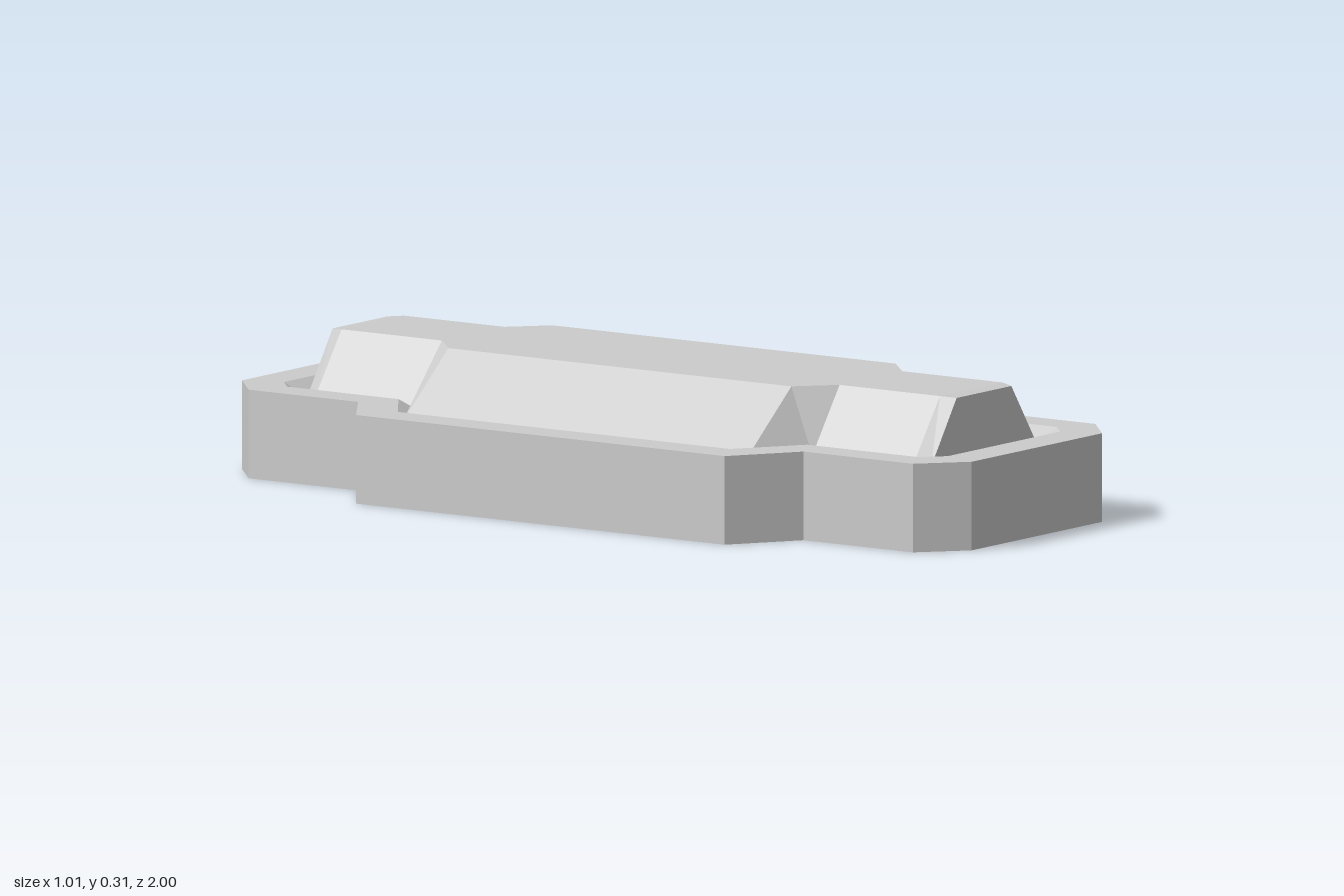
import * as THREE from 'three';

// Skin a stack of closed rings; each ring runs counterclockwise seen from the end of the stack.
function loft(rings, name) {
  const pos = [];
  const tri = (...pts) => pts.forEach((p) => pos.push(...p));
  const n = rings[0].length;
  const centre = (ring) => [0, 1, 2].map((k) => ring.reduce((s, p) => s + p[k], 0) / n);
  const last = rings[rings.length - 1];
  const c0 = centre(rings[0]);
  const c1 = centre(last);
  for (let j = 0; j < n; j++) {
    const k = (j + 1) % n;
    tri(c0, rings[0][k], rings[0][j]);
    tri(c1, last[j], last[k]);
    for (let i = 0; i < rings.length - 1; i++) {
      const a = rings[i], b = rings[i + 1];
      tri(a[j], a[k], b[k]);
      tri(a[j], b[k], b[j]);
    }
  }
  const geometry = new THREE.BufferGeometry();
  geometry.setAttribute('position', new THREE.Float32BufferAttribute(pos, 3));
  geometry.computeVertexNormals();
  const mesh = new THREE.Mesh(geometry, new THREE.MeshStandardMaterial({ color: 0xcccccc, flatShading: true }));
  mesh.name = name;
  return mesh;
}

// Mirror one quadrant of [x, z] points into a full outline at height y.
function outline(quadrant, y) {
  const side = (sx, sz) => quadrant.map(([x, z]) => [sx * x, y, sz * z]);
  return [...side(1, -1), ...side(-1, -1).reverse(), ...side(-1, 1), ...side(1, 1).reverse()];
}

export function createModel() {
  const group = new THREE.Group();
  group.name = 'steppedPlate';

  // Base plate with a flat rim and a shallow bevelled recess
  const outer = [[0.505, 0.505], [0.35, 0.61], [0.35, 0.91], [0.25, 1]];
  const rim = [[0.415, 0.455], [0.265, 0.56], [0.265, 0.865], [0.215, 0.91]];
  const floor = [[0.37, 0.43], [0.22, 0.535], [0.22, 0.845], [0.195, 0.865]];
  group.add(loft([
    outline(outer, 0), outline(outer, 0.2), outline(rim, 0.2), outline(floor, 0.17),
  ], 'basePlate'));

  // Raised ridge: trapezoid sections [z, bottom half width, top half width, top height]
  const half = [[0.855, 0.203, 0.105, 0.312], [0.82, 0.225, 0.12, 0.315], [0.545, 0.225, 0.12, 0.315], [0.47, 0.378, 0.2, 0.315]];
  const sections = [
    ...half.map(([z, ...rest]) => [-z, ...rest]),
    ...half.slice().reverse(),
  ];
  group.add(loft(sections.map(([z, b, t, y]) => [
    [b, 0.169, z], [t, y, z], [-t, y, z], [-b, 0.169, z],
  ]), 'raisedRidge'));

  return group;
}
